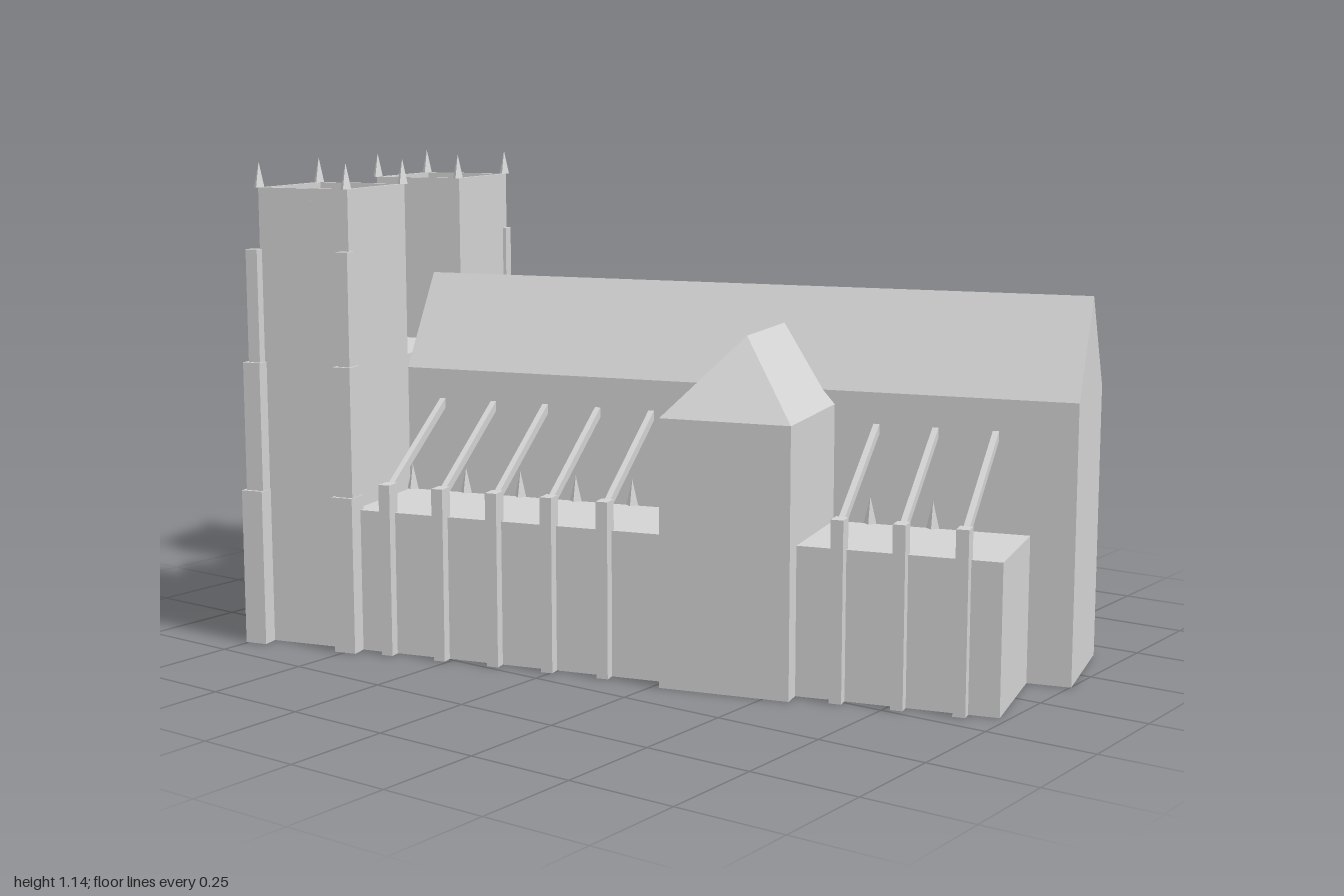
import * as THREE from 'three';

// x runs along the nave (west towers at -x), z across it; the whole building is turned at the end.
export function createModel() {
  const stone = new THREE.MeshStandardMaterial({ color: 0xd2d2d2, flatShading: true, side: THREE.DoubleSide });
  stone.name = 'paleStone';
  const church = new THREE.Group();
  church.name = 'church';

  const add = (geometry, name) => {
    const mesh = new THREE.Mesh(geometry, stone);
    mesh.name = name;
    church.add(mesh);
    return mesh;
  };
  // Removes the triangles lying on the ground, leaving an open shell
  const openBelow = (geometry) => {
    const source = geometry.index ? geometry.toNonIndexed() : geometry;
    const a = source.attributes.position.array;
    const kept = [];
    for (let i = 0; i < a.length; i += 9) {
      if (Math.max(a[i + 1], a[i + 4], a[i + 7]) > 0.001) kept.push(...a.slice(i, i + 9));
    }
    const shell = new THREE.BufferGeometry();
    shell.setAttribute('position', new THREE.Float32BufferAttribute(kept, 3));
    shell.computeVertexNormals();
    return shell;
  };
  // Box given by its extents on each axis
  const boxGeometry = (x0, x1, y0, y1, z0, z1) =>
    new THREE.BoxGeometry(x1 - x0, y1 - y0, z1 - z0)
      .translate((x0 + x1) / 2, (y0 + y1) / 2, (z0 + z1) / 2);
  const box = (name, ...extents) => add(boxGeometry(...extents), name);
  const hall = (name, ...extents) => add(openBelow(boxGeometry(...extents)), name);
  // z extents on the side s (+1 or -1) of the nave
  const onSide = (s, z0, z1) => (s > 0 ? [z0, z1] : [-z1, -z0]);
  const spire = (name, x, y, z, height, radius) => {
    const mesh = add(new THREE.ConeGeometry(radius, height, 4), name);
    mesh.position.set(x, y + height / 2, z);
  };
  // Cross-section in z and y, extruded along x
  const alongNave = (name, points, x0, x1) => {
    const shape = new THREE.Shape(points.map(([z, y]) => new THREE.Vector2(-z, y)));
    const geometry = new THREE.ExtrudeGeometry(shape, { depth: x1 - x0, bevelEnabled: false });
    geometry.rotateY(Math.PI / 2).translate(x0, 0, 0);
    add(openBelow(geometry), name);
  };

  const west = -0.865, towerEast = -0.63, inner = 0.147, outer = 0.425, wall = 0.145;

  // Nave with its pitched roof
  alongNave('nave', [[wall, 0], [wall, 0.637], [0, 0.857], [-wall, 0.637], [-wall, 0]], towerEast, 1.005);

  // West front between the towers, with a thin gable
  hall('westFront', west, towerEast, 0, 0.67, -inner, inner);
  alongNave('westGable', [[inner, 0.67], [0, 0.81], [-inner, 0.67]], west, west + 0.012);

  // Transept: the upper ring of the box is drawn in to a hipped ridge
  const transept = new THREE.BoxGeometry(0.3, 2, 0.944, 1, 2, 1);
  const p = transept.attributes.position;
  for (let i = 0; i < p.count; i++) {
    const level = p.getY(i);
    if (level > 0.5) p.setXYZ(i, 0, 0.775, Math.sign(p.getZ(i)) * 0.323);
    else p.setY(i, level < -0.5 ? 0 : 0.605);
  }
  add(openBelow(transept), 'transept').position.x = 0.303;

  // Stepped corner buttress, pushed off the corner along dx and dz
  const steps = [[0.37, 0.054, 0.022], [0.675, 0.044, 0.017], [0.94, 0.03, 0.013]];
  const cornerButtress = (x, z, dx, dz) => {
    let y = 0;
    for (const [top, size, offset] of steps) {
      const cx = x + dx * offset, cz = z + dz * offset, h = size / 2;
      box('towerButtress', cx - h, cx + h, y, top, cz - h, cz + h);
      y = top;
    }
  };

  for (const s of [-1, 1]) {
    // Tower with a sunken roof behind a thin parapet
    const roof = 1.055, top = 1.083, t = 0.01;
    hall('tower', west, towerEast, 0, roof, ...onSide(s, inner, outer));
    box('parapet', west, west + t, roof, top, ...onSide(s, inner, outer));
    box('parapet', towerEast - t, towerEast, roof, top, ...onSide(s, inner, outer));
    box('parapet', west + t, towerEast - t, roof, top, ...onSide(s, inner, inner + t));
    box('parapet', west + t, towerEast - t, roof, top, ...onSide(s, outer - t, outer));
    for (const x of [west + 0.002, towerEast - 0.004])
      for (const z of [inner + 0.002, outer - 0.002]) spire('towerSpire', x, top, s * z, 0.06, 0.014);

    // The outer buttresses step the same way on both towers
    cornerButtress(west, s * outer, -0.75, 0.6);
    cornerButtress(west, s * inner, -0.75, 0);
    cornerButtress(towerEast, s * outer, -0.5, 0.6);

    // Low side aisle
    hall('aisle', towerEast, 0.905, 0, 0.336, ...onSide(s, wall, outer));

    // Piers with flying buttresses, and small spires between them
    for (const i of [0, 1, 2, 3, 4, 8, 9, 10]) {
      const x = -0.537 + 0.136 * i;
      box('pier', x - 0.014, x + 0.014, 0, 0.405, ...onSide(s, 0.412, 0.451));
      const dy = 0.168, dz = 0.28;
      const flyer = add(new THREE.BoxGeometry(0.014, 0.02, Math.hypot(dy, dz)), 'flyingButtress');
      flyer.position.set(x, 0.473, s * 0.28);
      flyer.rotation.x = s * Math.atan2(dy, dz);
      if (i !== 10) spire('pinnacle', x + 0.068, 0.4, s * 0.435, 0.058, 0.014);
    }
  }

  // Low buttresses in the middle of each west bay
  for (const z of [-0.286, 0, 0.286]) box('portalButtress', -0.938, west, 0, 0.235, z - 0.013, z + 0.013);

  // Turn the plan and centre it
  church.rotation.y = 0.2705;
  church.position.set(-0.005, 0, -0.017);
  const model = new THREE.Group();
  model.name = 'cathedral';
  model.add(church);
  return model;
}
